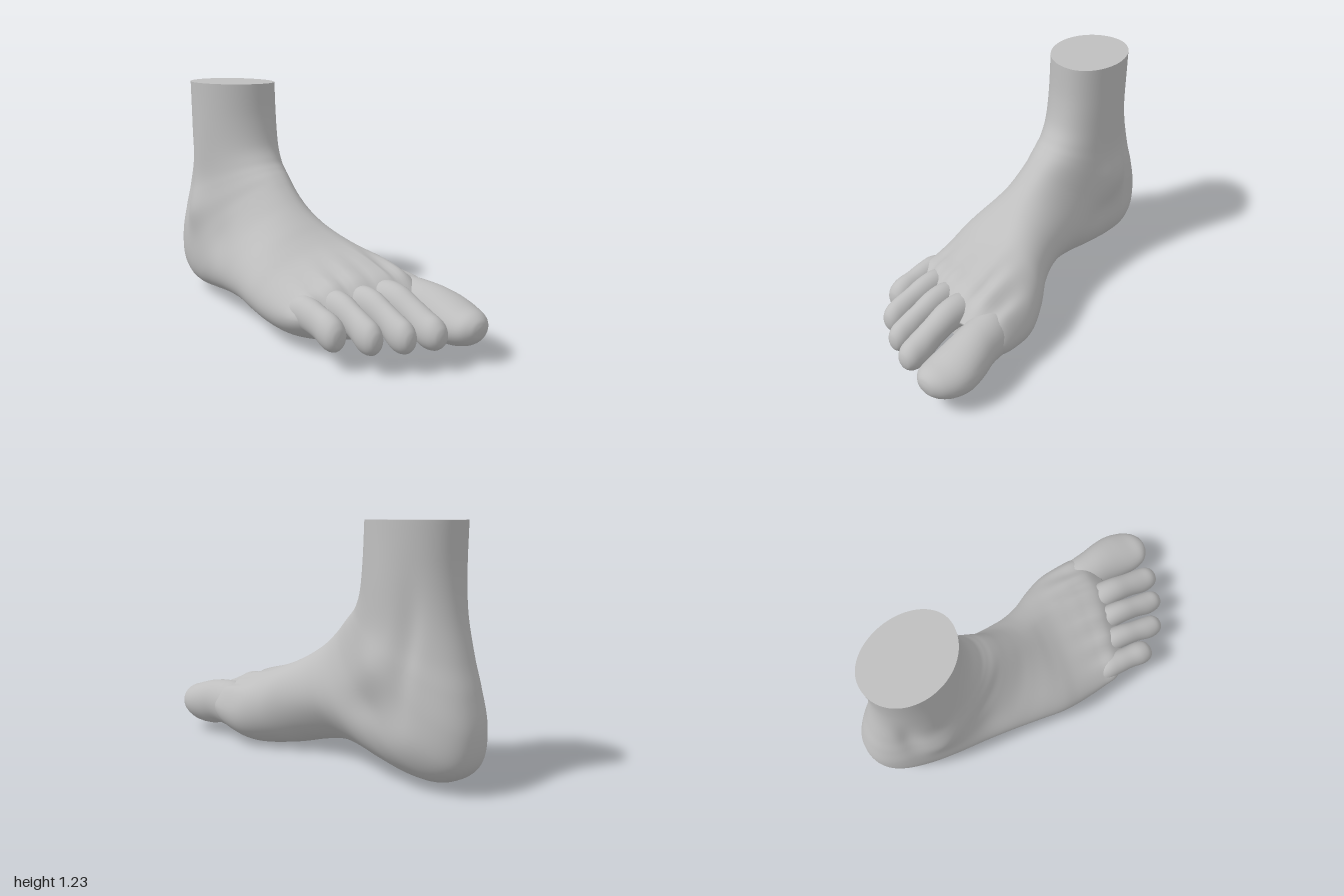
import * as THREE from 'three';

const TAU = Math.PI * 2;
const lerp = THREE.MathUtils.lerp;
const gauss = (d, r) => Math.exp(-(d * d) / (r * r));

// Smoothly interpolate a table of rows at u in 0..1 (Catmull-Rom per column)
function sampleRows(rows, u) {
  const f = u * (rows.length - 1);
  const i = Math.min(Math.floor(f), rows.length - 2);
  const t = f - i;
  const at = (k) => rows[THREE.MathUtils.clamp(k, 0, rows.length - 1)];
  const [a, b, c, d] = [at(i - 1), at(i), at(i + 1), at(i + 2)];
  return b.map((p, k) => p + 0.5 * t * (c[k] - a[k]
    + t * (2 * a[k] - 5 * p + 4 * c[k] - d[k]
    + t * (3 * (p - c[k]) + d[k] - a[k]))));
}

// Skin closed rings: ringPoint(u, angle) -> [x, y, z]; the far end is closed
function loft(ringPoint, rings, sides) {
  const pos = [], index = [], centre = [0, 0, 0];
  for (let i = 0; i <= rings; i++) {
    for (let j = 0; j < sides; j++) {
      const p = ringPoint(i / rings, (j / sides) * TAU);
      pos.push(...p);
      if (i === rings) p.forEach((v, k) => { centre[k] += v / sides; });
    }
  }
  pos.push(...centre);
  const end = (rings + 1) * sides;
  for (let i = 0; i <= rings; i++) {
    for (let j = 0; j < sides; j++) {
      const n = (j + 1) % sides;
      const a = i * sides + j, b = i * sides + n;
      if (i === rings) index.push(a, end, b);
      else index.push(a, a + sides, b, b, a + sides, b + sides);
    }
  }
  const geo = new THREE.BufferGeometry();
  geo.setAttribute('position', new THREE.Float32BufferAttribute(pos, 3));
  geo.setIndex(index);
  geo.computeVertexNormals();
  return geo;
}

// Side profile, fanned from shin to toes: front/top z, y and back/sole z, y
const profile = [
  [-0.357, 1.232, -0.852, 1.232], [-0.348, 1.05, -0.848, 1.0],
  [-0.32, 0.905, -0.87, 0.8], [-0.275, 0.825, -0.92, 0.6],
  [-0.235, 0.785, -0.967, 0.45], [-0.2, 0.757, -1.0, 0.28],
  [-0.165, 0.727, -0.975, 0.125], [-0.13, 0.695, -0.87, 0.045],
  [-0.09, 0.66, -0.72, 0.028], [-0.045, 0.622, -0.55, 0.045],
  [0.005, 0.583, -0.35, 0.072], [0.065, 0.541, -0.15, 0.082],
  [0.135, 0.498, 0.03, 0.055], [0.22, 0.457, 0.18, 0.018],
  [0.32, 0.423, 0.33, 0], [0.43, 0.39, 0.46, 0.018],
  [0.55, 0.345, 0.57, 0.06], [0.64, 0.255, 0.63, 0.13],
];

// Widths: top x, sole x, outer x, inner x, roundness, low-belly, slant to small toe
const widths = [
  [-0.03, -0.085, -0.28, 0.13, 0.97, 1, 0], [-0.03, -0.085, -0.28, 0.133, 0.97, 1, 0],
  [-0.035, -0.085, -0.278, 0.134, 0.97, 1, 0], [-0.04, -0.085, -0.28, 0.137, 0.95, 1, 0],
  [-0.04, -0.08, -0.29, 0.143, 0.9, 0.98, 0], [-0.04, -0.08, -0.305, 0.15, 0.85, 0.95, 0],
  [-0.04, -0.08, -0.317, 0.157, 0.82, 0.91, 0], [-0.04, -0.08, -0.33, 0.16, 0.81, 0.88, 0],
  [-0.04, -0.09, -0.34, 0.163, 0.82, 0.86, 0], [-0.037, -0.1, -0.35, 0.167, 0.85, 0.85, 0],
  [-0.03, -0.115, -0.365, 0.172, 0.87, 0.84, 0], [-0.01, -0.11, -0.385, 0.187, 0.88, 0.82, 0],
  [0.02, -0.07, -0.402, 0.23, 0.88, 0.81, 0.03], [0.05, 0.01, -0.405, 0.3, 0.85, 0.8, 0.08],
  [0.075, 0.08, -0.4, 0.355, 0.82, 0.8, 0.14], [0.085, 0.1, -0.392, 0.372, 0.8, 0.82, 0.22],
  [0.08, 0.1, -0.383, 0.37, 0.75, 0.88, 0.29], [0.06, 0.06, -0.33, 0.33, 0.7, 1, 0.31],
];

// Ankle bones, hollows, heel pad and arch: side, y, z, y radius, z radius, height
const bumps = [
  [1, 0.56, -0.59, 0.13, 0.13, 0.032], [1, 0.85, -0.59, 0.22, 0.09, 0.008],
  [1, 0.68, -0.745, 0.24, 0.05, -0.026], [1, 0.14, -0.15, 0.12, 0.2, -0.028],
  [1, 0.2, -0.74, 0.12, 0.13, 0.018], [1, 0.36, -0.5, 0.09, 0.14, -0.015],
  [-1, 0.53, -0.62, 0.13, 0.12, 0.032], [-1, 0.82, -0.62, 0.2, 0.08, 0.008],
  [-1, 0.66, -0.77, 0.2, 0.05, -0.026], [-1, 0.42, -0.36, 0.12, 0.1, -0.015],
];

function footPoint(u, angle) {
  const [az, ay, bz, by] = sampleRows(profile, u);
  const [ax, bx, outer, inner, round, belly, slant] = sampleRows(widths, u);
  const s = Math.sin(angle), side = s < 0 ? -1 : 1;
  const t = Math.pow((1 - Math.cos(angle)) / 2, belly);
  const reach = (side > 0 ? inner : outer) - (ax + bx) / 2;
  let x = lerp(ax, bx, t) + reach * Math.pow(Math.abs(s), round);
  let y = lerp(ay, by, t);
  const z = lerp(az, bz, t) + slant * Math.min(0, x - 0.1);
  for (const [dir, cy, cz, ry, rz, h] of bumps) {
    if (dir === side) x += dir * h * gauss(y - cy, ry) * gauss(z - cz, rz) * Math.abs(s);
  }
  // Tendon ridges running to the toes
  const top = Math.max(0, Math.cos(angle));
  y += 0.013 * Math.cos((TAU * (x - 0.07)) / 0.128) * gauss(z - 0.48, 0.15) * Math.sqrt(top);
  return [x, y, z];
}

// Toe from rows of x, y, z, half width, half height
function toeGeometry(rows) {
  return loft((u, angle) => {
    const [x, y, z, rx, ry] = sampleRows(rows, u);
    return [x + rx * Math.sin(angle), y + ry * Math.cos(angle), z];
  }, 40, 32);
}

// Small toe: buried root, raised knuckle, slim waist, rounded pad at the tip
function smallToeRows(x0, x1, z0, z1, w, lift) {
  const stations = [
    [0, 0.2 + lift, 1.05, 0.08], [0.25, 0.235 + lift, 1.1, 0.085],
    [0.45, 0.235 + lift, 1.03, 0.082], [0.64, 0.21 + lift / 2, 0.96, 0.08],
    [0.8, 0.182, 1.02, 0.086], [0.91, 0.172, 0.92, 0.076],
    [0.97, 0.168, 0.66, 0.052], [0.993, 0.167, 0.34, 0.027], [1, 0.167, 0.02, 0.002],
  ];
  return stations.map(([f, y, rx, ry]) =>
    [lerp(x0, x1, Math.min(1, f * 1.2)), y, lerp(z0, z1, f), w * rx, ry]);
}

export function createModel() {
  const group = new THREE.Group();
  const skin = new THREE.MeshStandardMaterial({ color: 0xbebebe });
  skin.name = 'grey skin';
  const add = (name, geo) => {
    const mesh = new THREE.Mesh(geo, skin);
    mesh.name = name;
    group.add(mesh);
  };

  // Ankle, heel and foot in one skin
  add('foot', loft(footPoint, 136, 96));

  // Flat cut across the leg
  const rim = [];
  for (let j = 0; j < 96; j++) {
    const [x, , z] = footPoint(0, (j / 96) * TAU);
    rim.push(new THREE.Vector2(x, -z));
  }
  const cut = new THREE.ShapeGeometry(new THREE.Shape(rim));
  cut.rotateX(-Math.PI / 2).translate(0, 1.232, 0);
  add('legCut', cut);

  // Big toe
  add('bigToe', toeGeometry([
    [0.23, 0.165, 0.4, 0.1, 0.12], [0.248, 0.185, 0.52, 0.113, 0.13],
    [0.262, 0.19, 0.63, 0.115, 0.125], [0.275, 0.176, 0.72, 0.124, 0.128],
    [0.281, 0.164, 0.81, 0.13, 0.118], [0.276, 0.16, 0.89, 0.122, 0.098],
    [0.268, 0.165, 0.95, 0.098, 0.078], [0.265, 0.17, 0.985, 0.06, 0.05],
    [0.264, 0.174, 0.997, 0.028, 0.022], [0.264, 0.175, 1, 0.002, 0.002],
  ]));

  // Four small toes
  const toes = [
    ['secondToe', 0.068, 0.063, 0.42, 0.955, 0.068, 0.022],
    ['thirdToe', -0.055, -0.077, 0.41, 0.9, 0.06, 0.012],
    ['fourthToe', -0.175, -0.21, 0.36, 0.82, 0.06, 0],
    ['littleToe', -0.3, -0.32, 0.28, 0.685, 0.064, -0.025],
  ];
  for (const [name, ...dims] of toes) add(name, toeGeometry(smallToeRows(...dims)));
  return group;
}
